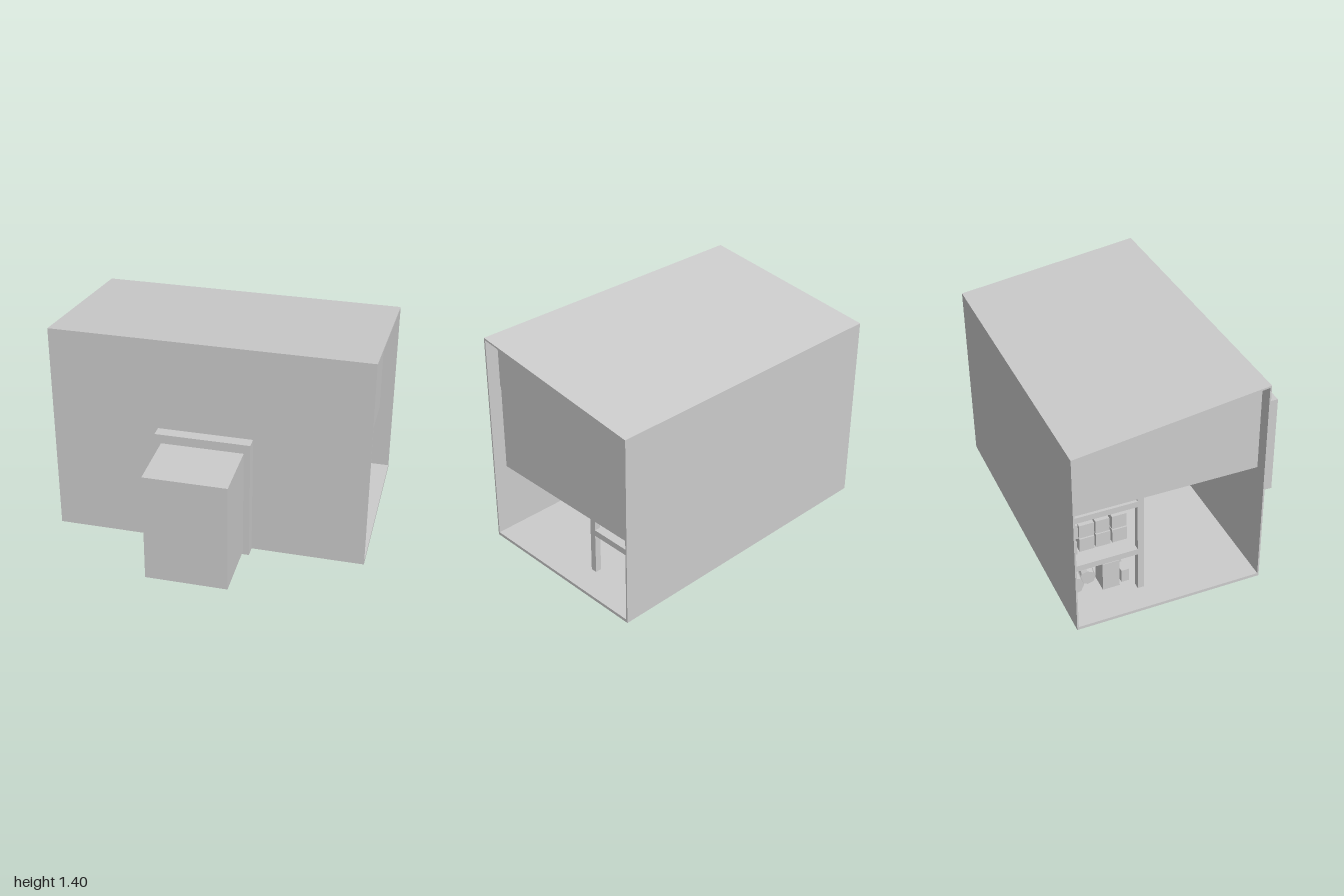
import * as THREE from 'three';

const grey = new THREE.MeshStandardMaterial({ color: 0xcccccc, flatShading: true, side: THREE.DoubleSide });

export function createModel() {
  const model = new THREE.Group();

  const add = (name, geometry, parent = model) => {
    const mesh = new THREE.Mesh(geometry, grey);
    mesh.name = name;
    parent.add(mesh);
    return mesh;
  };
  const group = (name) => {
    const g = new THREE.Group();
    g.name = name;
    model.add(g);
    return g;
  };
  // Box given by its limits on each axis
  const block = (name, x0, x1, y0, y1, z0, z1, parent) => {
    const g = new THREE.BoxGeometry(x1 - x0, y1 - y0, z1 - z0);
    g.translate((x0 + x1) / 2, (y0 + y1) / 2, (z0 + z1) / 2);
    return add(name, g, parent);
  };
  const path = (points) => points.map(([z, y]) => new THREE.Vector2(z, y));
  // Side profile in (z, y), extruded from x0 to x1
  const profile = (name, points, x0, x1, hole) => {
    const shape = new THREE.Shape(path(points));
    if (hole) shape.holes.push(new THREE.Path(path(hole)));
    const g = new THREE.ExtrudeGeometry(shape, { depth: x1 - x0, bevelEnabled: false });
    g.rotateY(-Math.PI / 2);
    g.translate(x1, 0, 0);
    return add(name, g);
  };

  // Shell: floor, front wall, sloping roof and back wall, open at both ends
  profile('shell', [[-0.84, 0], [0.36, 0], [0.36, 1.4], [-0.84, 1.235]], -1, 1,
    [[-0.83, 0.02], [0.35, 0.02], [0.35, 1.387], [-0.83, 1.225]]);

  // Thin hanging panels inside each open end
  const top = [[0.35, 1.387], [-0.825, 1.226]];
  profile('upperPanelLeft', [[-0.825, 1.045], [0.35, 1.045], ...top], 0.902, 0.915);
  block('lowerPanelLeft', 0.897, 0.91, 0.48, 1.045, -0.825, 0.35);
  profile('panelRight', [[-0.825, 0.78], [0.35, 0.78], ...top], -0.915, -0.902);

  // Entrance: surround and a porch with no underside
  block('entranceSurround', -0.32, 0.28, 0, 0.8, 0.36, 0.435);
  const porch = group('porch');
  block('porchFront', -0.28, 0.24, 0.02, 0.74, 0.835, 0.84, porch);
  block('porchTop', -0.28, 0.24, 0.735, 0.74, 0.435, 0.835, porch);
  block('porchSide', -0.28, -0.275, 0.02, 0.735, 0.435, 0.835, porch);
  block('porchSide', 0.235, 0.24, 0.02, 0.735, 0.435, 0.835, porch);

  // Storage rack along the back wall
  const rack = group('rack');
  const shelves = [0.29, 0.65];
  for (const x of [-0.81, 0, 0.81]) block('rackPost', x - 0.02, x + 0.02, 0.02, 0.95, -0.38, -0.34, rack);
  for (const y of shelves) block('shelf', -0.83, 0.83, y, y + 0.04, -0.83, -0.38, rack);

  // Repeatable random numbers for the stored goods
  let seed = 7;
  const rand = (a, b) => {
    seed = (seed * 16807) % 2147483647;
    return a + (b - a) * (seed / 2147483647);
  };

  // Two layers of small boxes on the lower shelf
  const goods = group('shelfBoxes');
  for (const y of [0.33, 0.432]) {
    for (let i = 0; i < 9; i++) {
      for (let j = 0; j < 4; j++) {
        const x = -0.72 + i * 0.13 + rand(-0.01, 0.01), z = -0.81 + j * 0.105;
        block('shelfBox', x, x + rand(0.08, 0.11), y, y + rand(0.09, 0.1),
          z, z + rand(0.08, 0.1), goods);
      }
    }
  }

  // Upright crates on the floor under the shelf
  const crates = group('crates');
  for (let i = 0; i < 4; i++) {
    const x = -0.76 + i * 0.28;
    block('tallCrate', x, x + 0.12, 0.02, 0.22, -0.58, -0.47, crates);
    block('slimCrate', x + 0.13, x + 0.21, 0.02, 0.21, -0.47, -0.405, crates);
    block('smallCrate', x + 0.02, x + 0.1, 0.02, 0.11, -0.45, -0.4, crates);
  }

  // Octagonal drums lying at the back
  const drums = group('drums');
  for (let i = 0; i < 4; i++) {
    const big = add('drum', new THREE.CylinderGeometry(0.066, 0.066, 0.22, 8), drums);
    big.rotation.set(0, rand(-0.2, 0.2), Math.PI / 2);
    big.position.set(-0.62 + i * 0.28, 0.085, -0.745);
    const small = add('smallDrum', new THREE.CylinderGeometry(0.05, 0.05, 0.16, 8), drums);
    small.rotation.set(0, rand(-0.3, 0.3), Math.PI / 2);
    small.position.set(-0.6 + i * 0.28, 0.075, -0.635);
  }

  return model;
}
